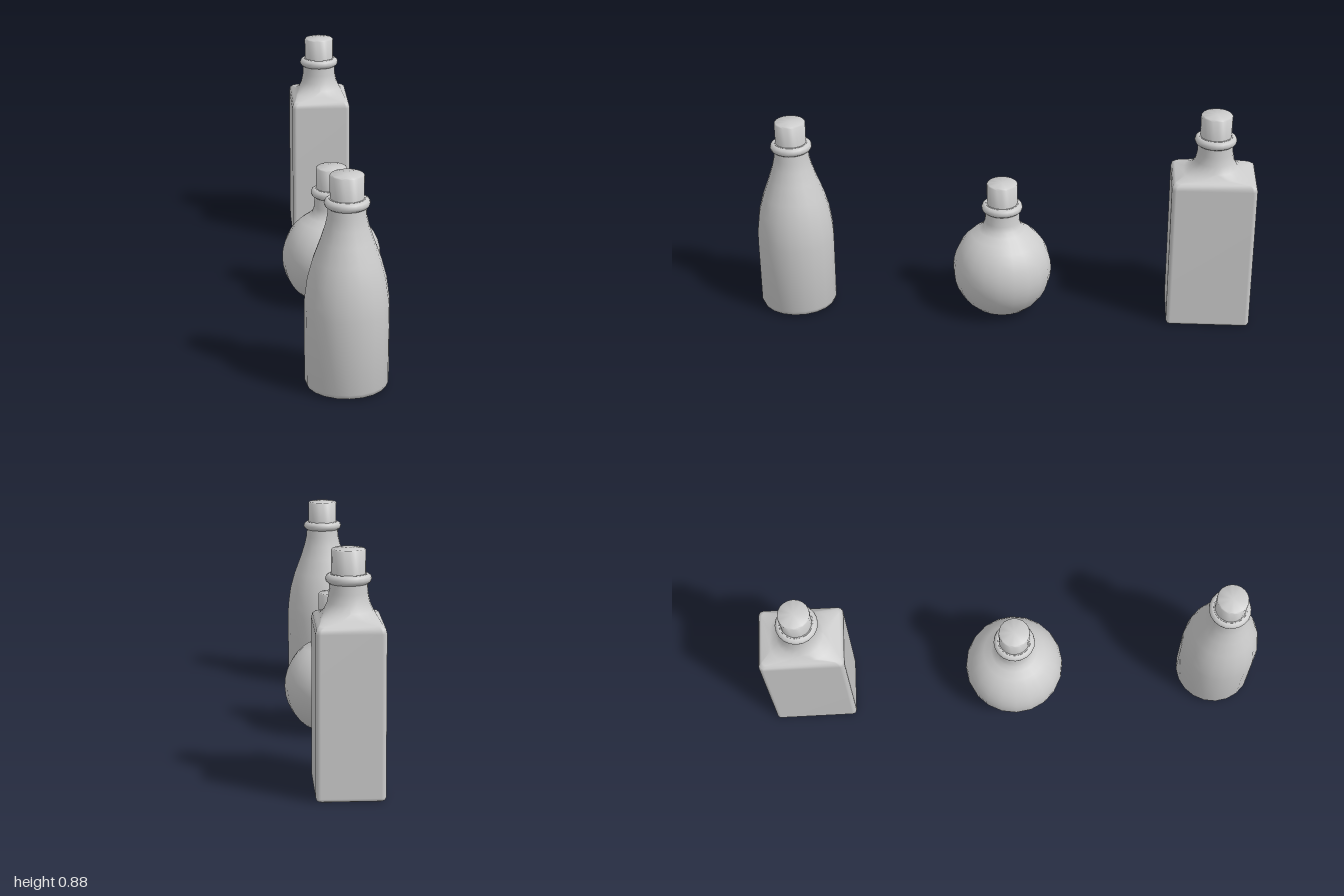
import * as THREE from 'three';
import { mergeVertices, toCreasedNormals } from 'three/addons/utils/BufferGeometryUtils.js';

const SEGMENTS = 20;
const material = new THREE.MeshStandardMaterial({ color: 0xcccccc });

function part(name, geometry) {
  const mesh = new THREE.Mesh(geometry, material);
  mesh.name = name;
  return mesh;
}

// Solid of revolution from [radius, height] pairs, bottom to top
function revolve(name, profile) {
  const points = profile.map(([r, y]) => new THREE.Vector2(r, y));
  return part(name, toCreasedNormals(new THREE.LatheGeometry(points, SEGMENTS), 0.9));
}

// Rounded rectangle loop; a circle when halfX = halfZ = radius
function sectionLoop([y, halfX, halfZ, radius], steps) {
  const loop = [];
  for (let corner = 0; corner < 4; corner++) {
    const sx = corner === 0 || corner === 3 ? 1 : -1;
    const sz = corner < 2 ? 1 : -1;
    for (let i = 0; i <= steps; i++) {
      const angle = (corner + i / steps) * Math.PI / 2;
      loop.push(
        sx * (halfX - radius) + Math.cos(angle) * radius,
        y,
        sz * (halfZ - radius) + Math.sin(angle) * radius
      );
    }
  }
  return loop;
}

// Skin over a stack of section loops, closed at the bottom
function loft(name, sections) {
  const steps = 5, count = 4 * (steps + 1);
  const positions = [], indices = [];
  for (const section of sections) positions.push(...sectionLoop(section, steps));
  const centre = sections.length * count;
  positions.push(0, sections[0][0], 0);
  for (let i = 0; i < count; i++) {
    const j = (i + 1) % count;
    indices.push(centre, i, j);
    for (let s = 0; s < sections.length - 1; s++) {
      const a = s * count + i, b = s * count + j;
      indices.push(a, a + count, b, b, a + count, b + count);
    }
  }
  const geometry = new THREE.BufferGeometry();
  geometry.setAttribute('position', new THREE.Float32BufferAttribute(positions, 3));
  geometry.setIndex(indices);
  const merged = mergeVertices(geometry, 1e-5);
  merged.computeVertexNormals();
  return part(name, merged);
}

// Body with a lip ring at ringY and a cork pushed into the neck
function makeBottle(name, z, body, ringY) {
  const bottle = new THREE.Group();
  bottle.name = name;
  bottle.position.z = z;

  const ring = part('neckRing', new THREE.TorusGeometry(0.065, 0.018, 10, SEGMENTS));
  ring.rotation.x = Math.PI / 2;
  ring.position.y = ringY;

  const lip = revolve('neckLip', [
    [0.068, -0.03], [0.068, 0.012], [0.066, 0.018], [0.06, 0.018], [0.058, -0.03]
  ]);
  lip.position.y = ringY;

  const cork = revolve('cork', [
    [0, -0.03], [0.061, -0.03], [0.062, 0.102], [0.058, 0.106], [0, 0.106]
  ]);
  cork.position.y = ringY;

  bottle.add(body, ring, lip, cork);
  return bottle;
}

export function createModel() {
  const model = new THREE.Group();
  model.name = 'bottles';

  // Tall round bottle with sloping shoulders
  const tallBody = revolve('tallBody', [
    [0, 0], [0.135, 0.002], [0.148, 0.008], [0.154, 0.024], [0.155, 0.3],
    [0.153, 0.345], [0.143, 0.42], [0.124, 0.49], [0.098, 0.56],
    [0.08, 0.615], [0.071, 0.655], [0.068, 0.7]
  ]);

  // Round flask: flat-bottomed sphere flaring into the neck
  const flaskProfile = [[0, 0]];
  for (let i = 0; i <= 12; i++) {
    const angle = THREE.MathUtils.lerp(-1.12, 1.08, i / 12);
    flaskProfile.push([0.2 * Math.cos(angle), 0.18 + 0.2 * Math.sin(angle)]);
  }
  flaskProfile.push([0.078, 0.373], [0.07, 0.395], [0.068, 0.455]);
  const flaskBody = revolve('flaskBody', flaskProfile);

  // Square bottle: sections of [y, halfX, halfZ, cornerRadius]
  const squareBody = loft('squareBody', [
    [0, 0.113, 0.155, 0.012],
    [0.004, 0.121, 0.163, 0.016],
    [0.014, 0.125, 0.167, 0.018],
    [0.605, 0.125, 0.167, 0.018],
    [0.622, 0.121, 0.163, 0.018],
    [0.631, 0.112, 0.152, 0.02],
    [0.642, 0.102, 0.118, 0.07],
    [0.662, 0.089, 0.092, 0.086],
    [0.69, 0.077, 0.077, 0.077],
    [0.725, 0.07, 0.07, 0.07],
    [0.775, 0.068, 0.068, 0.068]
  ]);

  model.add(
    makeBottle('tallBottle', 0.845, tallBody, 0.702),
    makeBottle('roundFlask', 0.004, flaskBody, 0.455),
    makeBottle('squareBottle', -0.833, squareBody, 0.775)
  );
  return model;
}
